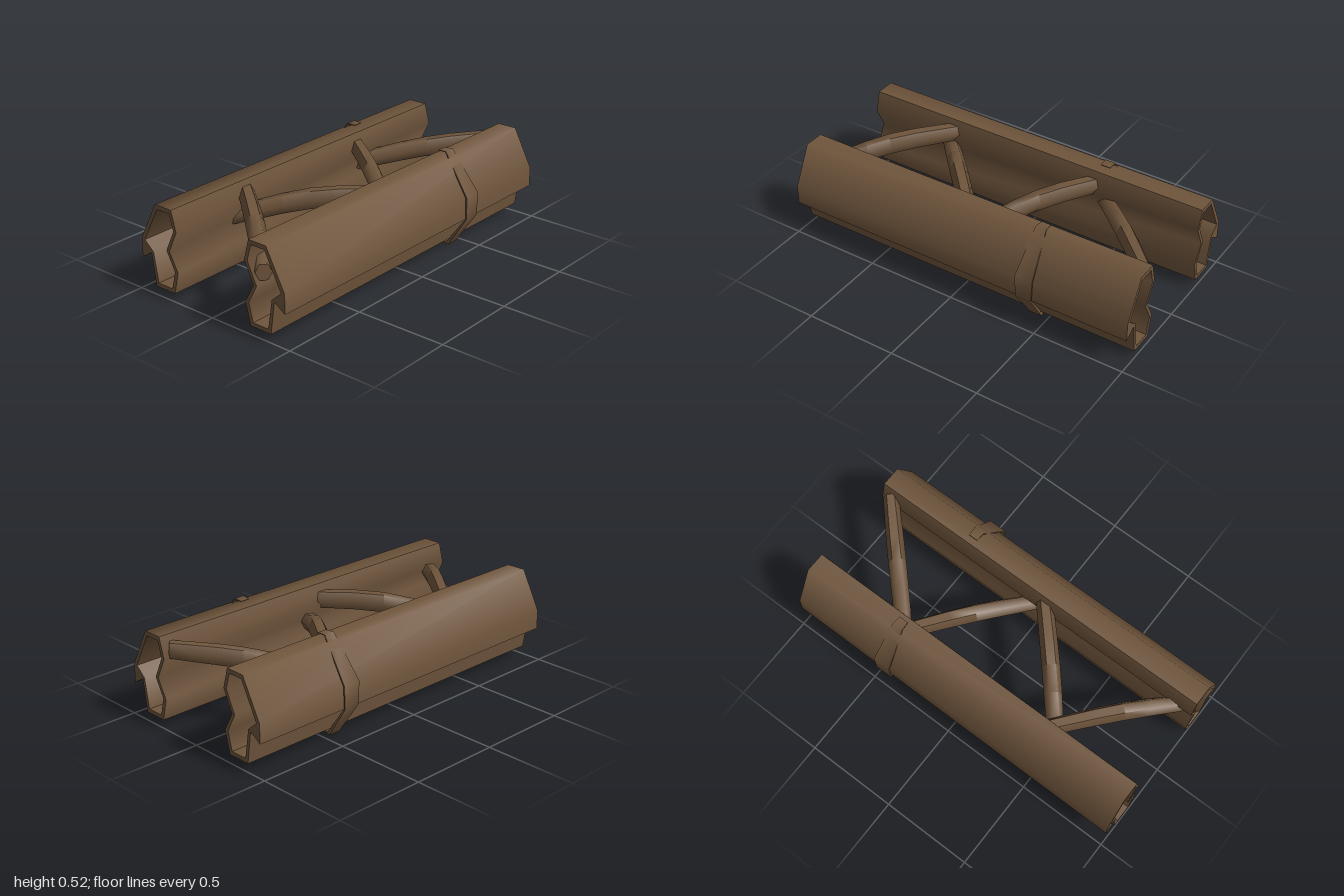
import * as THREE from 'three';
import { toCreasedNormals } from 'three/addons/utils/BufferGeometryUtils.js';

const wood = new THREE.MeshStandardMaterial({ color: 0x6f553c });
wood.name = 'brown wood';

function addMesh(parent, name, geometry, crease) {
  const mesh = new THREE.Mesh(toCreasedNormals(geometry, crease), wood);
  mesh.name = name;
  parent.add(mesh);
}

// Closed solid through a row of equal-length loops, capped at both ends
function loft(loops) {
  const n = loops[0].length;
  const index = [];
  for (let k = 0; k < loops.length - 1; k++) {
    for (let i = 0; i < n; i++) {
      const j = (i + 1) % n;
      const a = k * n + i, b = k * n + j, c = a + n, d = b + n;
      index.push(a, b, d, a, d, c);
    }
  }
  const last = (loops.length - 1) * n;
  for (let i = 1; i < n - 1; i++) {
    index.push(0, i + 1, i, last, last + i, last + i + 1);
  }
  const geometry = new THREE.BufferGeometry();
  geometry.setAttribute('position', new THREE.Float32BufferAttribute(loops.flat(2), 3));
  geometry.setIndex(index);
  return geometry.toNonIndexed();
}

// Hollow rail profile as [z, y] points, with a flap on the outer side
const railOuter = [
  [0.365, 0.495], [0.255, 0.495], [0.225, 0.385], [0.28, 0.27], [0.225, 0.17],
  [0.255, 0.05], [0.385, 0.05], [0.41, 0.225], [0.475, 0.182], [0.475, 0.287],
];
// The hollow runs the opposite way round, so its walls face inwards
const railInner = [
  [0.452, 0.283], [0.394, 0.232], [0.368, 0.072], [0.272, 0.072], [0.247, 0.17],
  [0.3, 0.27], [0.245, 0.385], [0.269, 0.472], [0.354, 0.472],
];

function railGeometry() {
  const toPoints = (list) => list.map(([z, y]) => new THREE.Vector2(-z, y));
  const shape = new THREE.Shape(toPoints(railOuter));
  shape.holes.push(new THREE.Path(toPoints(railInner)));
  const geometry = new THREE.ExtrudeGeometry(shape, { depth: 2, bevelEnabled: false });
  geometry.translate(0, 0, -1);
  geometry.rotateY(Math.PI / 2);
  return geometry;
}

// Thin strap around the outside of a rail: [z, y, half width, half thickness]
const strapPath = [
  [0.285, 0.521, 0.026, 0.002], [0.333, 0.523, 0.03, 0.003], [0.488, 0.31, 0.05, 0.004],
  [0.488, 0.19, 0.045, 0.004], [0.363, 0.011, 0.034, 0.009], [0.29, 0.018, 0.025, 0.003],
];

function strapGeometry(x) {
  const loops = strapPath.map(([z, y, w, h], i) => {
    const prev = strapPath[Math.max(i - 1, 0)];
    const next = strapPath[Math.min(i + 1, strapPath.length - 1)];
    const t = new THREE.Vector2(next[0] - prev[0], next[1] - prev[1]).normalize();
    return [[-1, -1], [1, -1], [1, 1], [-1, 1]].map(
      ([a, b]) => [x + a * w, y + b * h * t.x, z - b * h * t.y]);
  });
  return loft(loops);
}

// Six-sided bent brace running through [x, y, z] points
function braceGeometry(points) {
  const curve = new THREE.CatmullRomCurve3(points.map((p) => new THREE.Vector3(...p)));
  const up = new THREE.Vector3(0, 1, 0);
  const loops = [];
  const steps = 6;
  for (let k = 0; k <= steps; k++) {
    const c = curve.getPoint(k / steps);
    const t = curve.getTangent(k / steps).setY(0).normalize();
    const side = up.clone().cross(t);
    const r = 0.041 + 0.007 * Math.sin((Math.PI * k) / steps);
    const loop = [];
    for (let i = 0; i < 6; i++) {
      const a = (i * Math.PI) / 3;
      loop.push(c.clone().addScaledVector(side, r * Math.cos(a))
        .addScaledVector(up, 1.15 * r * Math.sin(a)).toArray());
    }
    loops.push(loop);
  }
  return loft(loops);
}

export function createModel() {
  const model = new THREE.Group();
  model.name = 'twoRailFrame';

  // Front and back rails, each with its strap
  for (const side of [1, -1]) {
    const half = new THREE.Group();
    half.name = side > 0 ? 'frontRailGroup' : 'backRailGroup';
    addMesh(half, 'rail', railGeometry(), 1.2);
    addMesh(half, 'strap', strapGeometry(side * 0.43), 1.0);
    if (side < 0) half.rotation.y = Math.PI;
    model.add(half);
  }

  // Zigzag braces between the rails
  const braces = [
    [[-0.96, 0.33, 0.31], [-0.72, 0.41, 0.03], [-0.43, 0.42, -0.32]],
    [[-0.56, 0.3, -0.31], [-0.29, 0.395, 0.0], [0.03, 0.41, 0.35]],
    [[-0.01, 0.285, 0.3], [0.2, 0.39, 0.0], [0.44, 0.415, -0.33]],
    [[0.41, 0.295, -0.32], [0.7, 0.38, -0.02], [0.95, 0.42, 0.24]],
  ];
  braces.forEach((points, i) => addMesh(model, `brace${i + 1}`, braceGeometry(points), 1.1));

  return model;
}
